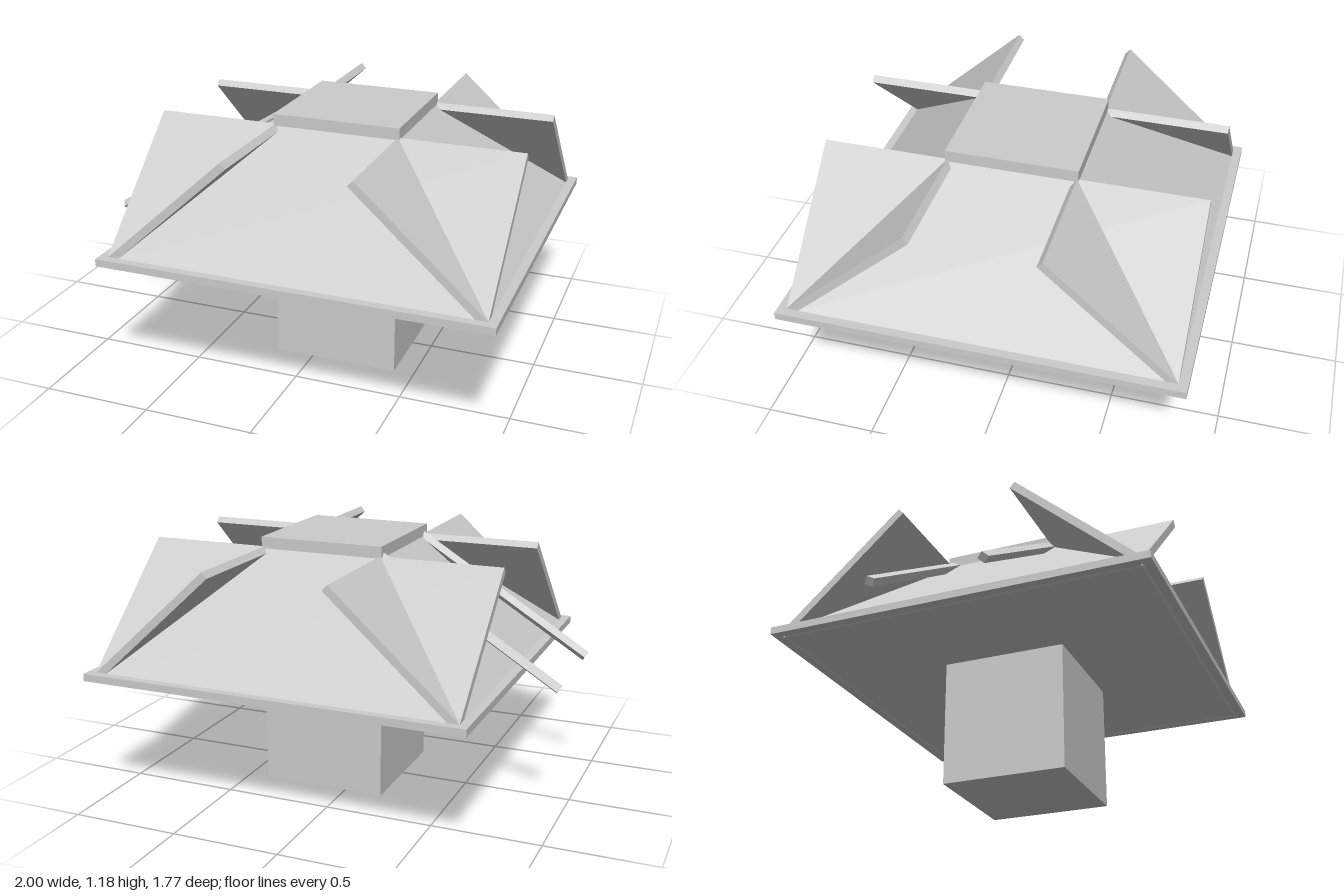
import * as THREE from 'three';

export function createModel() {
  const model = new THREE.Group();
  const material = new THREE.MeshStandardMaterial({ color: 0xcccccc, flatShading: true });
  const CX = 0.113; // axis of the tower

  function box(name, w, h, d, x, y, z, parent = model) {
    const mesh = new THREE.Mesh(new THREE.BoxGeometry(w, h, d), material);
    mesh.name = name;
    mesh.position.set(x, y, z);
    parent.add(mesh);
    return mesh;
  }

  // Square column running up through the roof, and the eaves plate
  box('column', 0.586, 1.18, 0.586, CX, 0.59, 0);
  box('eavesPlate', 1.77, 0.034, 1.77, CX, 0.613, 0);

  // Four rectangular slabs that cross at the hips, leaving their corners raised
  const pitch = THREE.MathUtils.degToRad(42);
  for (let i = 0; i < 4; i++) {
    const side = new THREE.Group();
    side.name = 'roofSide' + (i + 1);
    side.position.x = CX;
    side.rotation.y = i * Math.PI / 2;
    const slab = box('roofSlab', 1.69, 0.035, 0.776, 0, 0.862, 0.561, side);
    slab.rotation.x = pitch;
    model.add(side);
  }

  // Two sloping square poles on the right side, each turned about its length
  const start = new THREE.Vector2(-0.988, 0.62);
  const end = new THREE.Vector2(-0.15, 1.14);
  const run = end.clone().sub(start);
  for (const [z, size, twist] of [[0.255, 0.035, 45], [-0.26, 0.037, 28]]) {
    const pole = box('slopingPole', run.length(), size, size,
      (start.x + end.x) / 2, (start.y + end.y) / 2, z);
    pole.rotation.set(THREE.MathUtils.degToRad(twist), 0, run.angle(), 'ZYX');
  }

  return model;
}
